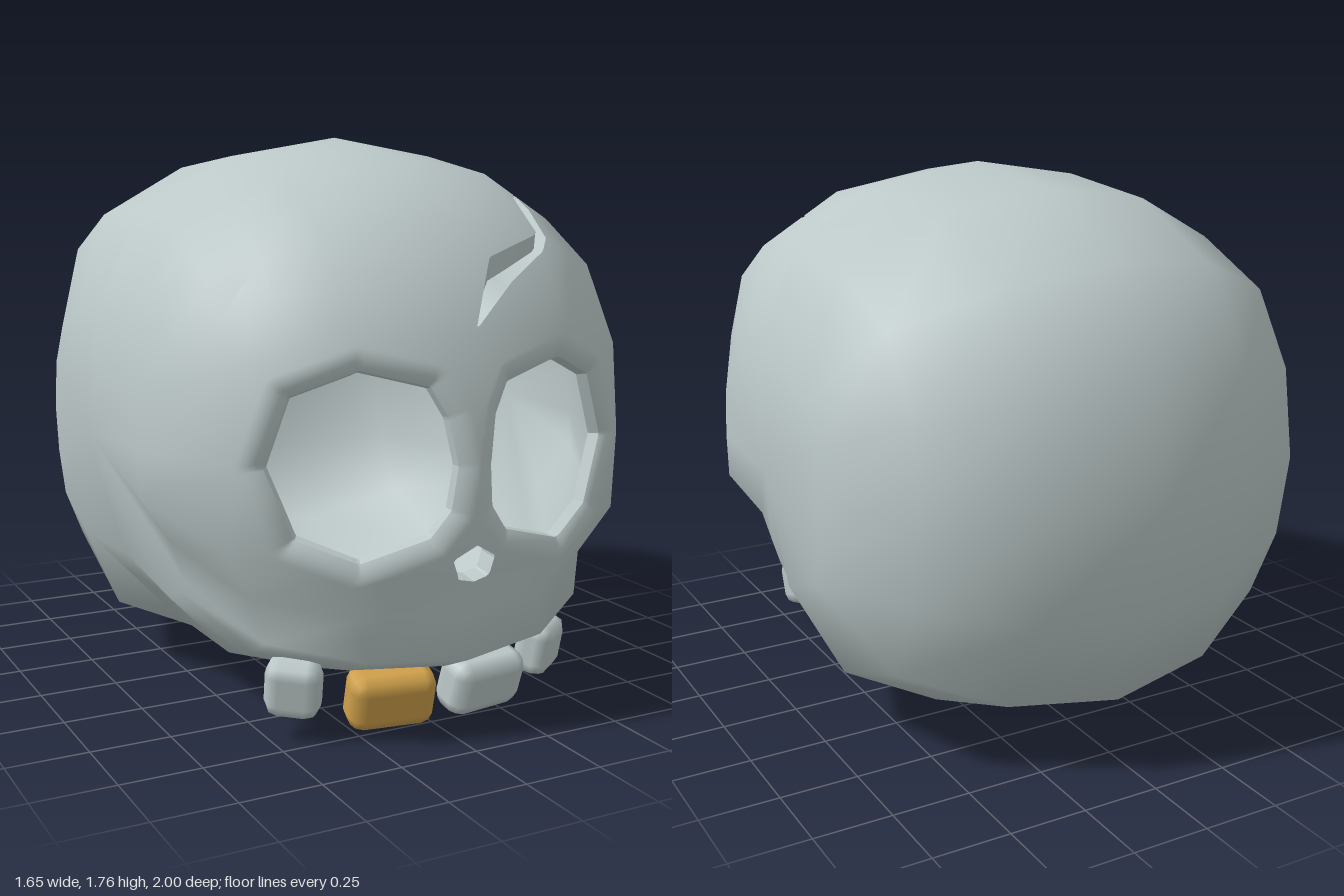
import * as THREE from 'three';
import { mergeVertices } from 'three/addons/utils/BufferGeometryUtils.js';
import { RoundedBoxGeometry } from 'three/addons/geometries/RoundedBoxGeometry.js';

const THICK = 0.06, LIP = 0.06;

// Midline profile of the skull: z, y, jaw weight
const PROFILE = [
  [0.10, 1.76, 0], [0.47, 1.70, 0], [0.77, 1.52, 0], [0.96, 1.21, 0], [1.0, 0.85, 0],
  [0.98, 0.52, 0], [0.91, 0.38, 0.7], [0.95, 0.26, 1], [0.82, 0.20, 1], [0.60, 0.14, 1],
  [0.10, 0.135, 0.6], [-0.28, 0, 0], [-0.79, 0.20, 0], [-0.94, 0.52, 0], [-1, 0.88, 0],
  [-0.94, 1.25, 0], [-0.75, 1.55, 0], [-0.36, 1.72, 0],
];
// Stations across the width: x, profile scale
const HALF = [[0.825, 0], [0.80, 0.42], [0.66, 0.76], [0.36, 0.935]];
const STATIONS = [...HALF, [0, 1], ...HALF.map(([x, s]) => [-x, s]).reverse()];

// Openings, outlined in x and y
const EYE = [[0.59, 0.85], [0.51, 0.64], [0.34, 0.57], [0.13, 0.63], [0.07, 0.71],
  [0.055, 0.84], [0.08, 0.98], [0.13, 1.07], [0.34, 1.125], [0.52, 1.05]];
const NOSE = [[0, 0.61], [0.07, 0.57], [0.05, 0.51], [0, 0.5], [-0.05, 0.51], [-0.07, 0.57]];
const CRACK = [[0.005, 1.22], [0.14, 1.41], [0.35, 1.465], [0.46, 1.57], [0.505, 1.58],
  [0.525, 1.53], [0.38, 1.425], [0.20, 1.34]];
const VALLEY = [[0.005, 1.22], [0.14, 1.365], [0.365, 1.44], [0.515, 1.555]];

function nearestOn(path, x, y, closed) {
  let best = { d: Infinity };
  for (let i = 0; i < path.length - (closed ? 0 : 1); i++) {
    const [ax, ay] = path[i], [bx, by] = path[(i + 1) % path.length];
    const ex = bx - ax, ey = by - ay;
    const t = THREE.MathUtils.clamp(((x - ax) * ex + (y - ay) * ey) / (ex * ex + ey * ey), 0, 1);
    const px = ax + t * ex, py = ay + t * ey, d = Math.hypot(x - px, y - py);
    if (d < best.d) best = { d, x: px, y: py };
  }
  return best;
}

// Signed distance to an outline, positive inside
function inside(path, x, y) {
  let odd = false;
  path.forEach(([ax, ay], i) => {
    const [bx, by] = path[(i + 1) % path.length];
    if ((ay > y) !== (by > y) && x < ax + (bx - ax) * (y - ay) / (by - ay)) odd = !odd;
  });
  return nearestOn(path, x, y, true).d * (odd ? 1 : -1);
}
const eyeField = (x, y) => inside(EYE, Math.abs(x), y);
const holeField = v => v[2] <= 0 ? -1 : Math.max(eyeField(v[0], v[1]), inside(NOSE, v[0], v[1]));
const crackField = v => v[2] <= 0 ? -1 : inside(CRACK, v[0], v[1]);
const bothField = v => Math.max(holeField(v), crackField(v));

// Coarse closed skull with smooth normals, as triangles of [x, y, z, nx, ny, nz]
function baseTriangles() {
  const pos = [], index = [], n = PROFILE.length;
  for (const [x, s] of STATIONS) {
    for (const [z, y, w] of PROFILE) {
      const sy = s === 0 ? 0 : Math.pow(s, 1 - 0.6 * w);
      pos.push(x * (1 - 0.18 * w * (s === 0 ? 0 : 1)), 0.85 + (y - 0.85) * sy, z * s);
    }
  }
  for (let i = 0; i < STATIONS.length - 1; i++) {
    for (let j = 0; j < n; j++) {
      const k = (j + 1) % n, a = i * n + j, b = a + n, c = (i + 1) * n + k, d = i * n + k;
      if (i < STATIONS.length - 2) index.push(a, b, c);
      if (i > 0) index.push(a, c, d);
      else index.splice(index.length - 3, 3, a, b, c);
      if (i === STATIONS.length - 2) continue;
    }
  }
  let g = new THREE.BufferGeometry();
  g.setAttribute('position', new THREE.Float32BufferAttribute(pos, 3));
  g.setIndex(index);
  g = mergeVertices(g, 1e-4);
  g.computeVertexNormals();
  const p = g.attributes.position, m = g.attributes.normal, id = g.index.array, out = [];
  const vert = i => [p.getX(i), p.getY(i), p.getZ(i), m.getX(i), m.getY(i), m.getZ(i)];
  for (let i = 0; i < id.length; i += 3) out.push([vert(id[i]), vert(id[i + 1]), vert(id[i + 2])]);
  return out;
}

const mix = (a, b, t) => a.map((v, i) => v + (b[i] - v) * t);
const edge = (a, b) => Math.hypot(a[0] - b[0], a[1] - b[1], a[2] - b[2]);

// Refine triangles close to an opening
function refine([a, b, c], field, out) {
  const size = Math.max(edge(a, b), edge(b, c), edge(c, a));
  const f = field(a.map((v, i) => (v + b[i] + c[i]) / 3));
  if (size > 0.022 && f > -size - LIP && f < size) {
    const ab = mix(a, b, 0.5), bc = mix(b, c, 0.5), ca = mix(c, a, 0.5);
    for (const t of [[a, ab, ca], [ab, b, bc], [ca, bc, c], [ab, bc, ca]]) refine(t, field, out);
  } else out.push([a, b, c]);
}

// Cut away the inside of a field; cut edges are collected in rims
function cut(tris, field, rims) {
  const out = [];
  for (const t of tris) {
    const f = t.map(field), poly = [];
    let leave, enter;
    t.forEach((v, i) => {
      const j = (i + 1) % 3;
      if (f[i] < 0) poly.push(v);
      if ((f[i] < 0) !== (f[j] < 0)) {
        const p = mix(v, t[j], f[i] / (f[i] - f[j]));
        poly.push(p);
        if (f[i] < 0) leave = p; else enter = p;
      }
    });
    for (let k = 1; k + 1 < poly.length; k++) out.push([poly[0], poly[k], poly[k + 1]]);
    if (leave) rims.push([leave, enter]);
  }
  return out;
}

// Outer skin, sunk softly around the eye sockets
function outerVertex(v) {
  const f = v[2] > 0 ? eyeField(v[0], v[1]) : -1;
  if (f < -LIP) return v;
  const k = 1 + Math.min(f, 0) / LIP, e = 0.002;
  const gx = (eyeField(v[0] + e, v[1]) - eyeField(v[0] - e, v[1])) / (2 * e);
  const gy = (eyeField(v[0], v[1] + e) - eyeField(v[0], v[1] - e)) / (2 * e);
  const n = new THREE.Vector3(v[3] + 0.8 * k * gx, v[4] + 0.8 * k * gy, v[5]).normalize();
  return [...[0, 1, 2].map(i => v[i] - v[i + 3] * 0.025 * k * k), n.x, n.y, n.z];
}
const innerVertex = v => [...[0, 1, 2].map(i => v[i] - v[i + 3] * THICK), -v[3], -v[4], -v[5]];

// Bottom of the crack below a point on its edge
function valleyVertex(v) {
  const q = nearestOn(VALLEY, v[0], v[1], false), dx = q.x - v[0], dy = q.y - v[1];
  const dz = -(v[3] * dx + v[4] * dy) / Math.max(v[5], 0.3);
  return [q.x - v[3] * 0.04, q.y - v[4] * 0.04, v[2] + dz - v[5] * 0.04];
}

function toGeometry(tris, smooth) {
  const g = new THREE.BufferGeometry(), verts = tris.flat();
  g.setAttribute('position', new THREE.Float32BufferAttribute(verts.flatMap(v => v.slice(0, 3)), 3));
  if (smooth) g.setAttribute('normal', new THREE.Float32BufferAttribute(verts.flatMap(v => v.slice(3)), 3));
  else g.computeVertexNormals();
  return g;
}
const walls = (rims, top, bottom) => rims.flatMap(([a, b]) => {
  const A = top(a), B = top(b), C = bottom(a), D = bottom(b);
  return [[B, A, C], [B, C, D]];
});

export function createModel() {
  const group = new THREE.Group();
  const bone = new THREE.MeshStandardMaterial({ color: 0xbcc8c8 });
  bone.name = 'bone';
  const gold = new THREE.MeshStandardMaterial({ color: 0xcfa04a });
  gold.name = 'gold';
  const add = (name, geometry, material) => {
    const mesh = new THREE.Mesh(geometry, material);
    mesh.name = name;
    group.add(mesh);
    return mesh;
  };

  // Skull shell with eye, nose and crack openings
  const fine = [], holeRims = [], crackRims = [];
  for (const t of baseTriangles()) refine(t, bothField, fine);
  const shell = cut(fine, holeField, holeRims);
  const skin = cut(shell, crackField, crackRims);
  add('skull', toGeometry(skin.map(t => t.map(outerVertex)), true), bone);
  add('skullInside', toGeometry(shell.map(([a, b, c]) => [a, c, b].map(innerVertex)), true), bone);
  add('socketRims', toGeometry(walls(holeRims, outerVertex, innerVertex), false), bone);
  add('crackWalls', toGeometry(walls(crackRims, v => v, valleyVertex), false), bone);

  // Upper teeth, one of them gold
  for (const side of [-1, 1]) {
    const front = add('frontTooth', new RoundedBoxGeometry(0.27, 0.18, 0.13, 1, 0.045), side < 0 ? gold : bone);
    front.position.set(side * 0.16, 0.12, 0.77);
    front.rotation.set(0.3, side * 0.15, 0, 'YXZ');
    const outer = add('sideTooth', new RoundedBoxGeometry(0.17, 0.18, 0.12, 1, 0.045), bone);
    outer.position.set(side * 0.435, 0.165, 0.685);
    outer.rotation.set(0.2, side * 0.6, side * 0.08, 'YXZ');
  }
  return group;
}
